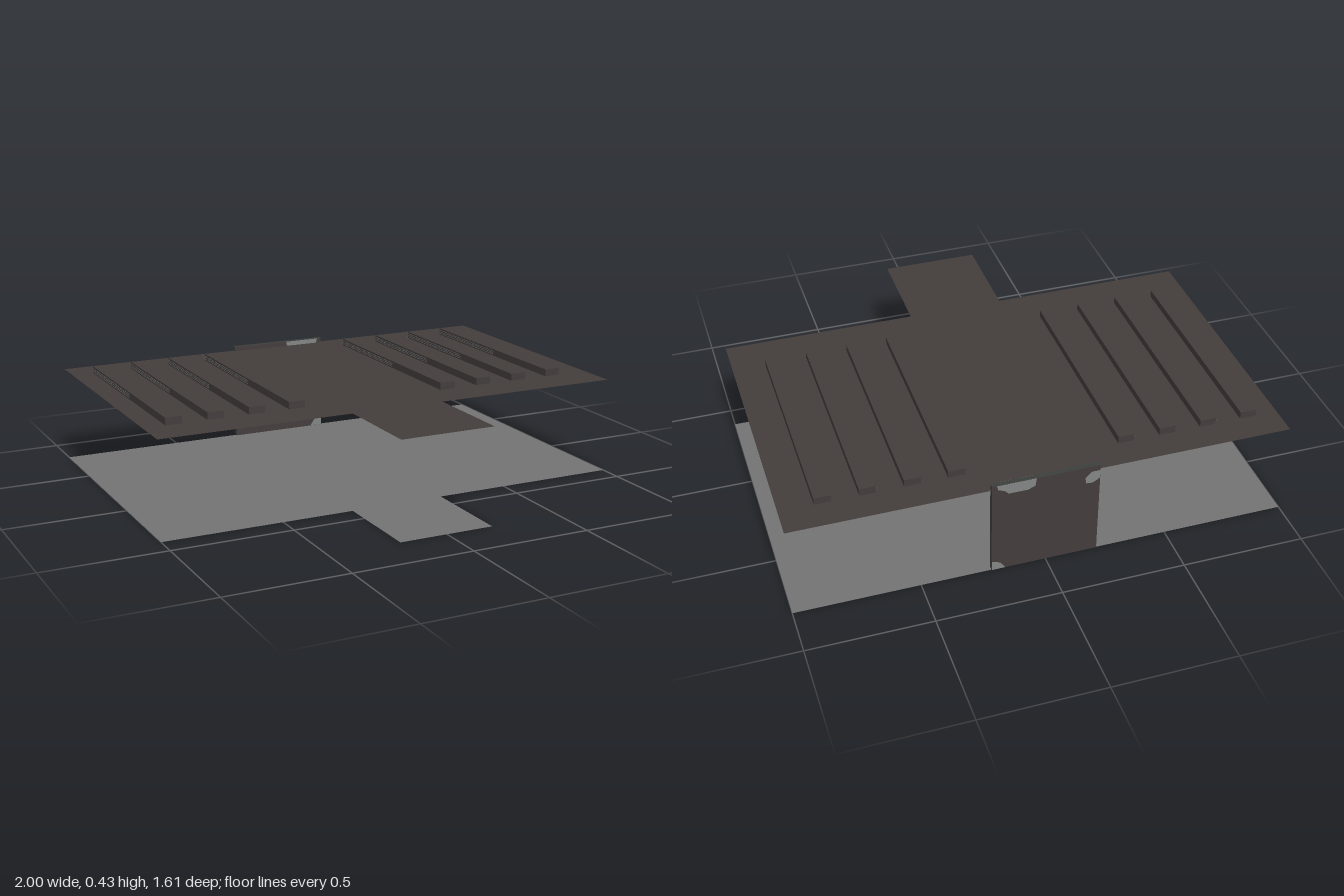
import * as THREE from 'three';

const material = (name, color, side = THREE.FrontSide) => {
  const m = new THREE.MeshStandardMaterial({ color, side });
  m.name = name;
  return m;
};

const polygon = (points) => new THREE.Shape(points.map(([x, y]) => new THREE.Vector2(x, y)));

export function createModel() {
  const dark = material('dark brown', 0x433d3c);
  const darkSheet = material('dark brown sheet', 0x433d3c, THREE.DoubleSide);
  const graySheet = material('gray sheet', 0x737373, THREE.DoubleSide);
  const edge = material('panel edge', 0x3c403d);
  const worn = material('worn gray', 0x828684);

  const model = new THREE.Group();
  model.name = 'slattedPlatform';

  const add = (name, geometry, mat, x, y, z, parent = model) => {
    const mesh = new THREE.Mesh(geometry, mat);
    mesh.name = name;
    mesh.position.set(x, y, z);
    parent.add(mesh);
    return mesh;
  };

  // Two flat T-shaped sheets, one above the other
  const sheet = new THREE.ShapeGeometry(polygon([
    [-1, 0.8], [-1, -0.4], [-0.2, -0.4], [-0.2, -0.8],
    [0.2, -0.8], [0.2, -0.4], [1, -0.4], [1, 0.8],
  ]));
  sheet.rotateX(-Math.PI / 2);
  add('lowerSheet', sheet, graySheet, 0, 0, 0);
  add('upperSheet', sheet, darkSheet, 0, 0.4, 0);

  // Eight raised slats, four on each side
  const front = 0.235, length = 0.915, width = 0.067;
  const slatGeometry = new THREE.BoxGeometry(width, 0.03, length);
  const segment = length / 4;
  const underGeometry = new THREE.BoxGeometry(width * 0.85, 0.002, segment - 0.015);
  const stripeGeometry = new THREE.BoxGeometry(0.002, 0.002, 0.49);

  for (const start of [-0.876, 0.318]) {
    for (let i = 0; i < 4; i++) {
      const slat = new THREE.Group();
      slat.name = 'slat';
      slat.position.set(start + i * 0.171, 0, 0);
      model.add(slat);
      add('slatBody', slatGeometry, dark, 0, 0.415, front - length / 2, slat);
      // Pale underside, in four lengths
      for (let k = 0; k < 4; k++) {
        add('slatUnderside', underGeometry, worn, 0, 0.3985, front - (k + 0.5) * segment, slat);
      }
      // Fine lines along the rear half of the side
      for (const y of [0.407, 0.414, 0.421]) {
        add('slatSideLine', stripeGeometry, graySheet, -width / 2, y, -0.435, slat);
      }
    }
  }

  // Upright rear panel
  const panel = new THREE.Group();
  panel.name = 'rearPanel';
  panel.position.set(0.005, 0, -0.794);
  model.add(panel);
  add('panelBody', new THREE.BoxGeometry(0.43, 0.418, 0.02),
    [edge, edge, edge, edge, dark, dark], 0, 0.211, 0, panel);

  // Worn patches showing on both faces of the panel
  const patches = [
    [[0.04, 0.419], [0.045, 0.385], [0.075, 0.373], [0.15, 0.374], [0.165, 0.39], [0.19, 0.4], [0.196, 0.419]],
    [[-0.214, 0.395], [-0.214, 0.36], [-0.185, 0.342], [-0.158, 0.345], [-0.155, 0.37], [-0.18, 0.395]],
    [[0.16, 0.003], [0.214, 0.003], [0.214, 0.045], [0.18, 0.032]],
  ];
  for (const points of patches) {
    const geometry = new THREE.ExtrudeGeometry(polygon(points), { depth: 0.023, bevelEnabled: false });
    add('wornPatch', geometry, worn, 0, 0, -0.0115, panel);
  }

  return model;
}
